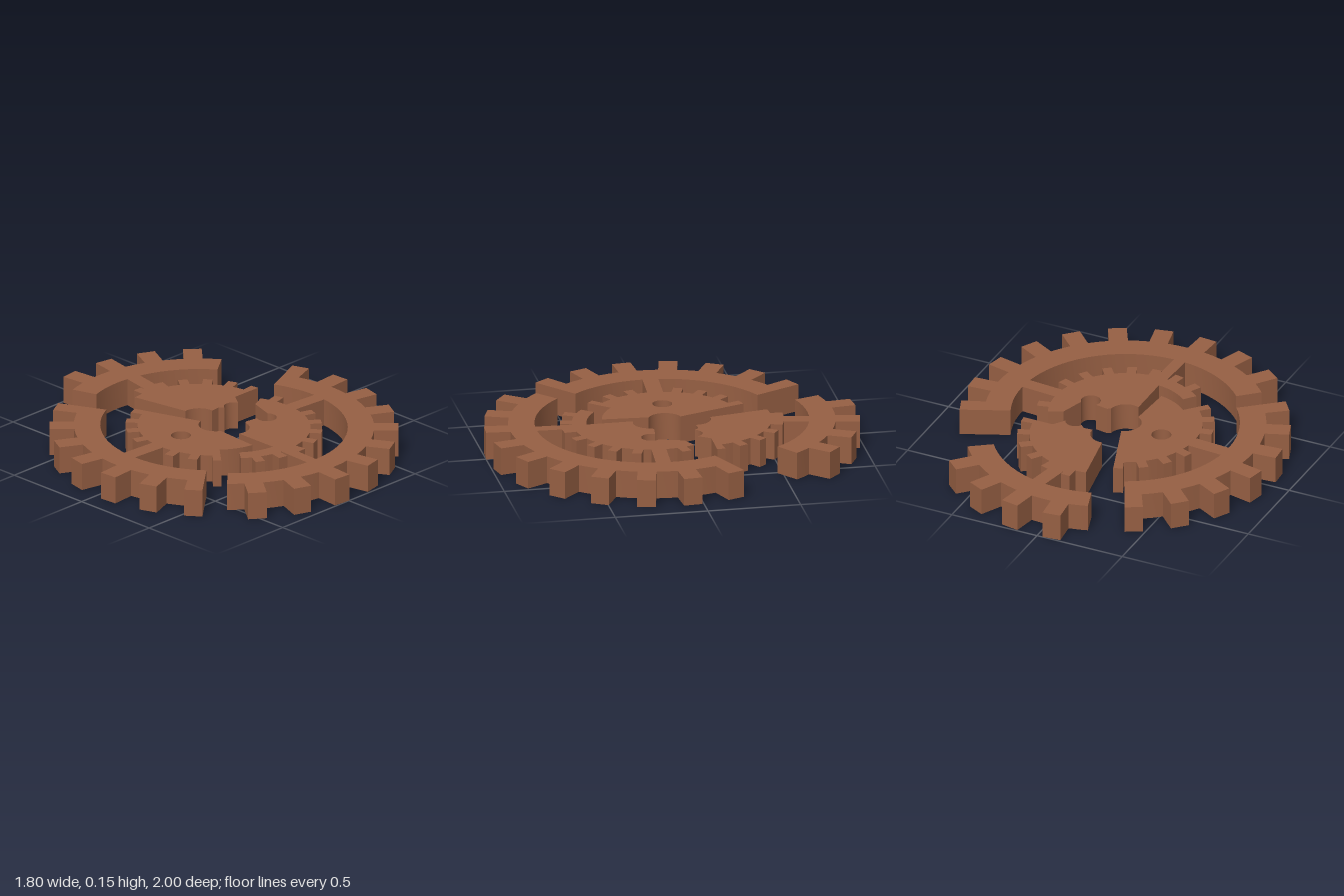
import * as THREE from 'three';
import { toCreasedNormals } from 'three/addons/utils/BufferGeometryUtils.js';

const THICK = 0.15;
const PITCH = 360 / 22;
const RAD = Math.PI / 180;

// Point at radius r and angle a (degrees, from +x towards +z)
const polar = (r, a, cx = 0, cz = 0) =>
  new THREE.Vector2(cx + r * Math.cos(a * RAD), cz + r * Math.sin(a * RAD));

// Points along an arc, in either direction
function arc(r, from, to, cx = 0, cz = 0, step = 5) {
  const n = Math.max(1, Math.ceil(Math.abs(to - from) / step));
  return Array.from({ length: n + 1 }, (_, i) => polar(r, from + ((to - from) * i) / n, cx, cz));
}

// Outer edge with square teeth, cut off radially at both ends
function toothedArc(root, tip, halfWidth, from, to, firstTooth, count) {
  const clamp = (a) => Math.min(to, Math.max(from, a));
  const atRoot = Math.asin(halfWidth / root) / RAD;
  const atTip = Math.asin(halfWidth / tip) / RAD;
  const points = [];
  let last = from;
  for (let i = 0; i < count; i++) {
    const a = firstTooth + i * PITCH;
    const start = clamp(a - atRoot);
    if (start > last) points.push(...arc(root, last, start));
    points.push(polar(tip, clamp(a - atTip)), polar(tip, clamp(a + atTip)));
    last = clamp(a + atRoot);
  }
  if (last < to) points.push(...arc(root, last, to));
  return points;
}

const v = (x, z) => new THREE.Vector2(x, z);

// Three broken pieces; hub lists the rest of the hub outline after its teeth
const PIECES = [
  {
    name: 'leftPiece', at: [-0.02, 0.03],
    rim: [140, 244.4, 143.1, 7],
    hubTeeth: [131.8, 252, 134, 8],
    hub: [...arc(0.09, 256, 117, 0, 0, 10), ...arc(0.335, 99.8, 131.8)],
    pinHole: [-0.23, -0.03],
    spokes: [[183.8, 0.085]],
  },
  {
    name: 'frontPiece', at: [0.017, 0.12],
    rim: [-23.4, 137.8, -20.4, 10],
    hubTeeth: [-23.4, 129.4, -13.3, 9],
    hub: [
      ...arc(0.335, 129.4, 95.9), ...arc(0.09, 113, 4, 0, 0, 10), v(0.108, -0.004),
      ...arc(0.053, 213, -40, 0.222, 0.036, 15), v(0.304, -0.13),
    ],
    spokes: [[4.4, 0.08], [92.2, 0.065]],
  },
  {
    name: 'backPiece', at: [0.01, -0.12],
    rim: [252.2, 324.6, 264, 4],
    hubTeeth: [-99.8, -3.8, -87.9, 6],
    hub: [
      v(0.305, -0.033), ...arc(0.053, -20, -155, 0.211, 0.049, 15), v(0.14, 0.004),
      ...arc(0.09, 5, -98, 0, 0, 10),
    ],
    spokes: [[280.8, 0.083]],
  },
];

export function createModel() {
  const model = new THREE.Group();
  model.name = 'brokenGear';
  const material = new THREE.MeshStandardMaterial({ color: 0x965f43 });
  material.name = 'rusty brown';

  // Flat plate lying on the ground from an outline in x and z
  function plate(name, outline, hole) {
    const shape = new THREE.Shape(outline);
    if (hole) shape.holes.push(new THREE.Path(hole));
    const geometry = new THREE.ExtrudeGeometry(shape, { depth: THICK, bevelEnabled: false });
    geometry.rotateX(Math.PI / 2).translate(0, THICK, 0);
    const mesh = new THREE.Mesh(toCreasedNormals(geometry, 0.4), material);
    mesh.name = name;
    return mesh;
  }

  for (const p of PIECES) {
    const piece = new THREE.Group();
    piece.name = p.name;
    piece.position.set(p.at[0], 0, p.at[1]);

    // Outer toothed rim
    const [from, to, first, count] = p.rim;
    piece.add(plate('rim', [
      ...toothedArc(0.75, 0.88, 0.05, from, to, first, count),
      ...arc(0.61, to, from),
    ]));

    // Inner toothed hub
    const hole = p.pinHole && arc(0.053, 0, 345, ...p.pinHole, 15);
    piece.add(plate('hub', [...toothedArc(0.413, 0.477, 0.026, ...p.hubTeeth), ...p.hub], hole));

    // Spokes joining hub and rim
    for (const [angle, width] of p.spokes) {
      const spoke = new THREE.Mesh(new THREE.BoxGeometry(0.22, THICK, width), material);
      spoke.name = 'spoke';
      const mid = polar(0.51, angle);
      spoke.position.set(mid.x, THICK / 2, mid.y);
      spoke.rotation.y = -angle * RAD;
      piece.add(spoke);
    }
    model.add(piece);
  }
  return model;
}
